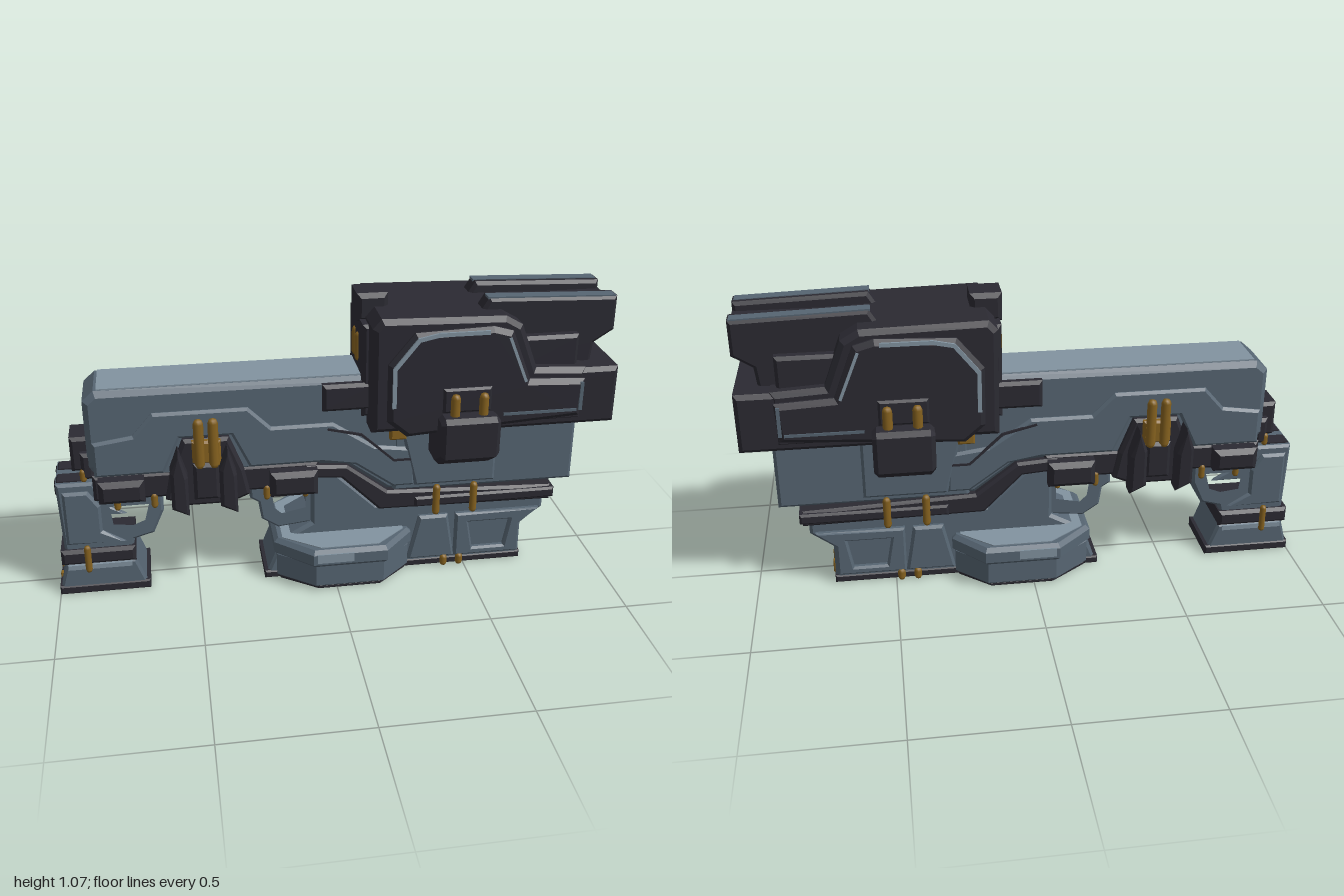
import * as THREE from 'three';

const material = (name, color) => {
  const m = new THREE.MeshStandardMaterial({ color });
  m.name = name;
  return m;
};

export function createModel() {
  const slate = material('slate armour', 0x566572);
  const pale = material('worn pale edge', 0x8293a0);
  const dark = material('charcoal', 0x2b2a32);
  const gold = material('brass', 0x86621f);
  const model = new THREE.Group();

  const add = (name, geo, mat) => {
    const mesh = new THREE.Mesh(geo, mat);
    mesh.name = name;
    model.add(mesh);
    return mesh;
  };
  const vectors = (pts) => pts.map(([x, y]) => new THREE.Vector2(x, y));

  // Bevelled prism from a to b. Outline planes: z axis = (x,y), y axis = (x,z), x axis = (z,y)
  function prism(name, axis, pts, a, b, mat, bevel = 0.012, hole) {
    const shape = new THREE.Shape(vectors(pts));
    if (hole) shape.holes.push(new THREE.Path(vectors(hole)));
    const geo = new THREE.ExtrudeGeometry(shape, {
      depth: b - a - 2 * bevel, bevelEnabled: bevel > 0, bevelSize: bevel,
      bevelThickness: bevel, bevelOffset: -bevel, bevelSegments: 1,
    });
    geo.translate(0, 0, a + bevel);
    if (axis === 'y') geo.rotateX(-Math.PI / 2);
    if (axis === 'x') geo.rotateY(Math.PI / 2);
    return add(name, geo, mat);
  }
  // Prism through the whole width, symmetric in z
  const slab = (name, pts, half, mat, bevel, hole) => prism(name, 'z', pts, -half, half, mat, bevel, hole);
  const rect = (x0, x1, y0, y1) => [[x0, y0], [x1, y0], [x1, y1], [x0, y1]];
  const block = (name, x0, x1, y0, y1, half, mat, bevel) => slab(name, rect(x0, x1, y0, y1), half, mat, bevel);
  // Prism repeated on both flanks
  function flanks(name, pts, z0, z1, mat, bevel, hole) {
    prism(name + 'Left', 'z', pts, z0, z1, mat, bevel, hole);
    prism(name + 'Right', 'z', pts, -z1, -z0, mat, bevel, hole);
  }
  // Thin line of plates on both flanks
  function stroke(name, pts, width, z, mat) {
    for (let i = 1; i < pts.length; i++) {
      const [x0, y0] = pts[i - 1], [x1, y1] = pts[i];
      for (const s of [-1, 1]) {
        const m = add(name, new THREE.BoxGeometry(Math.hypot(x1 - x0, y1 - y0) + width * 0.4, width, 0.008), mat);
        m.position.set((x0 + x1) / 2, (y0 + y1) / 2, s * z);
        m.rotation.z = Math.atan2(y1 - y0, x1 - x0);
      }
    }
  }
  // Vertical brass pins on both flanks
  function pins(name, xs, y0, y1, z, r = 0.014) {
    for (const x of xs) for (const s of [-1, 1]) {
      add(name, new THREE.CapsuleGeometry(r, y1 - y0 - 2 * r, 2, 8), gold).position.set(x, (y0 + y1) / 2, s * z);
    }
  }

  // Long upper beam and pale top skin
  slab('beam', [[-0.86, 0.5], [-0.82, 0.45], [-0.05, 0.45], [0.05, 0.44], [0.2, 0.33], [0.3, 0.33],
    [0.3, 0.785], [-0.82, 0.785], [-0.86, 0.75]], 0.112, slate, 0.02);
  prism('beamTop', 'y', rect(-0.81, 0.14, -0.09, 0.09), 0.784, 0.79, pale, 0);
  flanks('archPlate', [[-0.84, 0.47], [-0.6, 0.47], [-0.54, 0.6], [-0.36, 0.6], [-0.3, 0.47], [-0.04, 0.47],
    [0.08, 0.45], [0.22, 0.35], [0.3, 0.35], [0.3, 0.5], [0.15, 0.52], [0.0, 0.62], [-0.22, 0.62],
    [-0.3, 0.7], [-0.63, 0.7], [-0.7, 0.62], [-0.84, 0.6]], 0.1, 0.125, slate, 0.01);
  block('beamRearCap', -0.92, -0.83, 0.47, 0.6, 0.065, dark);
  block('beamRearLug', -0.885, -0.84, 0.45, 0.55, 0.095, dark);
  pins('rearPin', [-0.88], 0.44, 0.49, 0.085, 0.012);
  block('sideBracket', -0.04, 0.14, 0.67, 0.77, 0.138, dark);

  // Dark rail beneath the beam with side boxes
  block('underRail', -0.85, -0.05, 0.37, 0.47, 0.115, dark);
  block('underBoxBack', -0.83, -0.67, 0.38, 0.465, 0.168, dark, 0.018);
  block('underBoxFront', -0.23, -0.06, 0.36, 0.455, 0.168, dark, 0.018);

  // Trigger cluster
  slab('triggerCore', [[-0.6, 0.37], [-0.52, 0.34], [-0.37, 0.34], [-0.3, 0.37], [-0.32, 0.47], [-0.37, 0.6],
    [-0.53, 0.6], [-0.58, 0.47]], 0.14, dark);
  for (const x of [-0.55, -0.38]) {
    flanks('triggerPost', [[x - 0.03, 0.36], [x + 0.03, 0.33], [x + 0.03, 0.48], [x, 0.58], [x - 0.03, 0.5]], 0.12, 0.2, dark);
  }
  flanks('triggerHub', rect(-0.5, -0.41, 0.38, 0.52), 0.13, 0.175, dark);
  flanks('brassMount', rect(-0.5, -0.4, 0.5, 0.6), 0.13, 0.16, gold, 0.008);
  pins('brassRod', [-0.475, -0.425], 0.5, 0.69, 0.165, 0.018);
  pins('underStud', [-0.77, -0.64, -0.24, -0.1], 0.33, 0.39, 0.11, 0.012);

  // Rear grip with its opening and splayed foot
  slab('grip', [[-0.98, 0.44], [-0.85, 0.44], [-0.82, 0.38], [-0.61, 0.38], [-0.61, 0.31], [-0.65, 0.22], [-0.72, 0.2],
    [-0.73, 0.16], [-0.97, 0.16]], 0.1, slate, 0.01,
    [[-0.81, 0.35], [-0.65, 0.35], [-0.67, 0.27], [-0.72, 0.25], [-0.8, 0.26]]);
  flanks('gripPlate', [[-0.96, 0.41], [-0.87, 0.41], [-0.83, 0.35], [-0.83, 0.25], [-0.75, 0.2], [-0.96, 0.2]], 0.09, 0.112, slate, 0.01);
  for (const z of [-0.05, 0.05]) {
    prism('gripCap', 'x', rect(z - 0.03, z + 0.03, 0.38, 0.445), -0.985, -0.87, dark);
  }
  block('gripBand', -0.985, -0.72, 0.12, 0.18, 0.118, dark);
  slab('gripFoot', [[-1, 0.012], [-0.68, 0.012], [-0.72, 0.125], [-0.97, 0.125]], 0.112, slate, 0.01);
  block('gripSole', -1, -0.675, 0, 0.035, 0.116, dark, 0.006);
  stroke('gripFootEdge', [[-0.96, 0.11], [-0.74, 0.11]], 0.018, 0.112, pale);
  pins('gripPin', [-0.89], 0.09, 0.2, 0.118, 0.012);

  // Forward guard loop
  slab('guardLoop', [[-0.3, 0.38], [-0.04, 0.38], [-0.02, 0.22], [-0.2, 0.2], [-0.26, 0.24], [-0.27, 0.31], [-0.3, 0.33]],
    0.095, slate, 0.008, [[-0.23, 0.35], [-0.09, 0.35], [-0.09, 0.27], [-0.19, 0.25], [-0.22, 0.28]]);

  // Front body, dark stepped seam, lower hull
  block('frontBody', 0.22, 0.9, 0.325, 0.62, 0.115, slate);
  flanks('bodyStep', [[0.3, 0.35], [0.6, 0.35], [0.6, 0.6], [0.24, 0.6]], 0.105, 0.13, slate, 0.01);
  stroke('bodySeam', [[-0.02, 0.6], [0.1, 0.57], [0.22, 0.46], [0.3, 0.46]], 0.008, 0.125, dark);
  slab('steppedSeam', [[-0.1, 0.46], [0.05, 0.45], [0.2, 0.335], [0.82, 0.31], [0.82, 0.25], [0.17, 0.26], [0.03, 0.4], [-0.1, 0.41]],
    0.128, dark, 0.01);
  block('seamNose', 0.3, 0.83, 0.265, 0.305, 0.14, dark, 0.008);
  slab('lowerHull', [[-0.08, 0.43], [0.02, 0.41], [0.16, 0.275], [0.8, 0.275], [0.8, 0.21], [0.72, 0.15], [0.72, 0.01],
    [-0.25, 0.01], [-0.19, 0.16], [-0.08, 0.22]], 0.114, slate);
  flanks('hullFrame', [[0.46, 0.04], [0.71, 0.04], [0.71, 0.16], [0.78, 0.22], [0.46, 0.22]], 0.105, 0.135, slate, 0.008,
    [[0.53, 0.07], [0.65, 0.07], [0.67, 0.18], [0.51, 0.18]]);
  flanks('hullRib', [[0.28, 0.04], [0.46, 0.04], [0.43, 0.22], [0.32, 0.22]], 0.105, 0.135, slate, 0.01);
  block('hullSole', -0.255, 0.722, 0, 0.03, 0.118, dark, 0.006);
  pins('hullPin', [0.38, 0.52], 0.23, 0.355, 0.138);
  pins('solePin', [0.42, 0.48], 0.002, 0.05, 0.13);
  for (const z of [-0.035, 0.035]) {
    prism('nosePin', 'x', rect(z - 0.01, z + 0.01, 0, 0.05), 0.69, 0.73, gold, 0.003);
    prism('gripNosePin', 'x', rect(z - 0.01, z + 0.01, 0, 0.05), -1, -0.97, gold, 0.003);
  }

  // Wide octagonal bulge around the lower hull
  const octagon = (x0, x1, h) => [[x0, -0.13], [x0 + 0.13, -h], [x1 - 0.11, -h], [x1, -0.13],
    [x1, 0.13], [x1 - 0.11, h], [x0 + 0.13, h], [x0, 0.13]];
  prism('bulgeBase', 'y', octagon(-0.21, 0.28, 0.232), 0.012, 0.12, slate);
  prism('bulgeRim', 'y', octagon(-0.22, 0.29, 0.25), 0.105, 0.175, slate, 0.015);
  prism('bulgeTop', 'y', octagon(-0.19, 0.26, 0.225), 0.172, 0.178, pale, 0);
  stroke('bulgeEdge', [[-0.07, 0.145], [0.05, 0.145]], 0.035, 0.248, pale);
  prism('bulgeSole', 'y', octagon(-0.2, 0.27, 0.225), 0.004, 0.02, dark, 0.004);

  // Dark upper housing and its nose block
  slab('housing', [[0.12, 0.61], [0.88, 0.61], [0.88, 0.81], [0.7, 0.82], [0.64, 0.98], [0.58, 1.015], [0.15, 1.025], [0.12, 0.99]],
    0.214, dark, 0.018);
  block('noseBlock', 0.3, 1, 0.595, 0.807, 0.21, dark, 0.015);
  flanks('cheek', [[0.17, 0.66], [0.24, 0.6], [0.86, 0.64], [0.87, 0.78], [0.67, 0.79], [0.6, 0.97], [0.53, 0.99], [0.26, 0.98],
    [0.17, 0.87]], 0.2, 0.243, dark, 0.018);
  stroke('cheekEdge', [[0.19, 0.72], [0.19, 0.86], [0.27, 0.96], [0.34, 0.975], [0.51, 0.975]], 0.014, 0.243, pale);
  stroke('cheekFrontEdge', [[0.585, 0.95], [0.65, 0.79]], 0.01, 0.243, pale);
  stroke('cheekLowEdge', [[0.58, 0.67], [0.84, 0.67]], 0.01, 0.243, slate);
  stroke('cheekNoseEdge', [[0.855, 0.67], [0.855, 0.77]], 0.012, 0.243, slate);
  flanks('cheekVent', rect(0.36, 0.53, 0.69, 0.78), 0.225, 0.255, dark, 0.008);

  // Twin top rails with a sunken spine
  const rail = [[0.5, 0.99], [0.54, 1.055], [1, 1.04], [1, 0.915], [0.93, 0.87], [0.92, 0.78], [0.5, 0.78]];
  flanks('topRail', rail, 0.05, 0.132, dark, 0.012);
  slab('spine', rail.map(([x, y]) => [x, Math.min(y, 1.01)]).filter((p, i) => i !== 0), 0.07, dark, 0);
  for (const z of [-0.1, 0.1]) {
    const m = add('railStrip', new THREE.BoxGeometry(0.46, 0.008, 0.045), slate);
    m.position.set(0.765, 1.046, z);
    m.rotation.z = -0.033;
  }
  block('shoulder', 0.6, 0.86, 0.78, 0.92, 0.17, dark);

  // Rear sight and brass rear fittings
  block('rearSight', 0.09, 0.2, 0.97, 1.07, 0.066, dark, 0.016);
  block('rearPanel', 0.1, 0.14, 0.64, 0.98, 0.13, dark);
  for (const z of [-0.03, 0.03]) {
    add('rearBrassRod', new THREE.CapsuleGeometry(0.016, 0.08, 2, 8), gold).position.set(0.105, 0.87, z);
  }
  flanks('underBrass', rect(0.2, 0.26, 0.55, 0.61), 0.115, 0.15, gold, 0.006);

  // Saddle clip crossing under the housing
  prism('saddleClip', 'x', [[-0.31, 0.54], [-0.22, 0.48], [0.22, 0.48], [0.31, 0.54], [0.31, 0.67], [0.29, 0.685],
    [-0.29, 0.685], [-0.31, 0.67]], 0.345, 0.555, dark, 0.015);
  pins('clipPin', [0.4, 0.5], 0.66, 0.765, 0.262, 0.017);

  return model;
}
